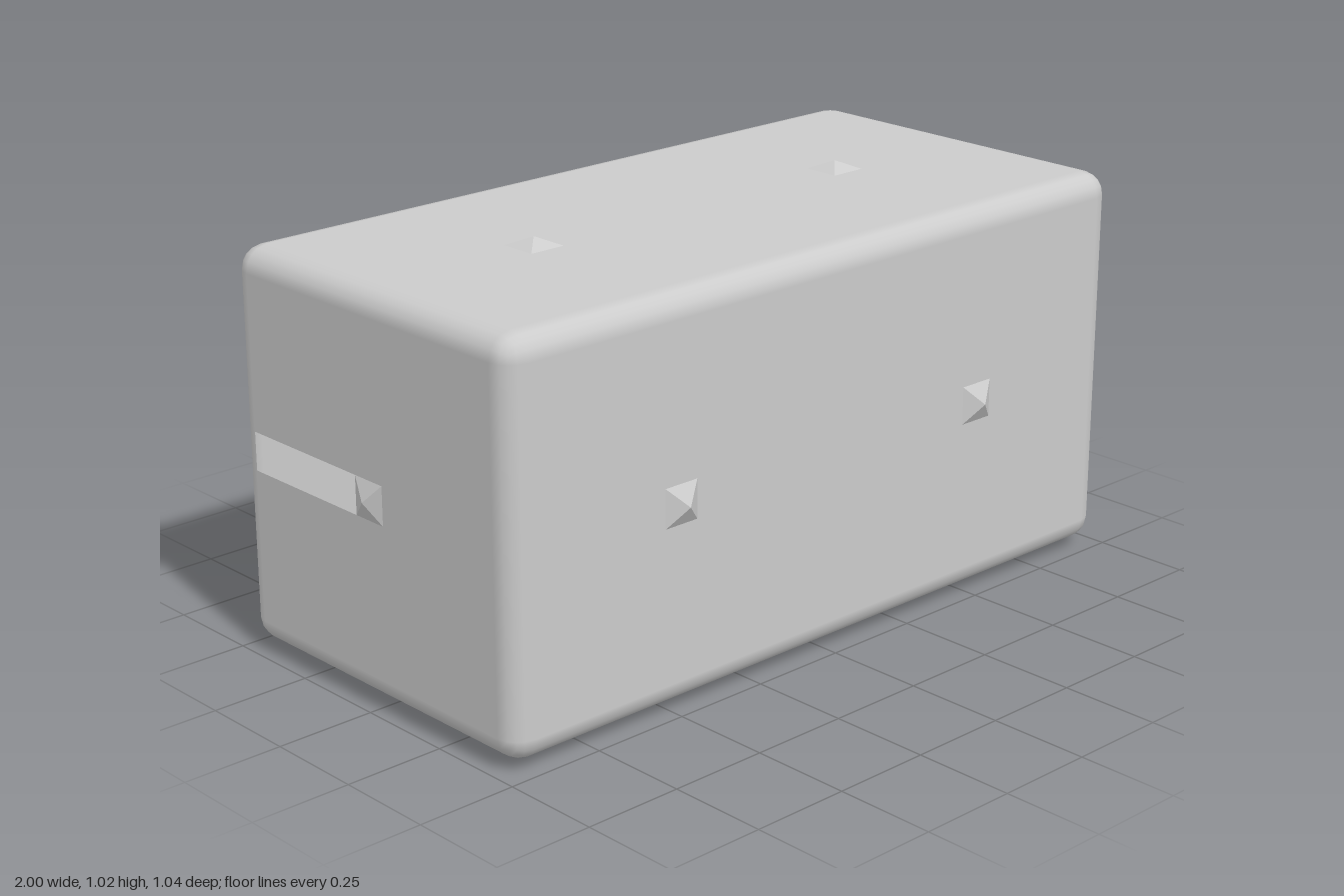
import * as THREE from 'three';
import { RoundedBoxGeometry } from 'three/addons/geometries/RoundedBoxGeometry.js';

const HX = 0.98, HY = 0.489, HZ = 0.489; // half sizes of the body
const R = 0.06;                          // edge rounding
const STUD = 0.048;                      // half width of a stud
const MID = 0.511;                       // height of the body centre

// Rounded box with the flat panel of its -x end left out
function shellGeometry() {
  const box = new RoundedBoxGeometry(2 * HX, 2 * HY, 2 * HZ, 2, R);
  const source = box.index ? box.toNonIndexed() : box;
  const p = source.attributes.position, n = source.attributes.normal;
  const positions = [], normals = [];
  for (let i = 0; i < p.count; i += 3) {
    if ([0, 1, 2].every((k) => p.getX(i + k) < -HX + 1e-4)) continue;
    for (let k = i; k < i + 3; k++) {
      positions.push(p.getX(k), p.getY(k), p.getZ(k));
      normals.push(n.getX(k), n.getY(k), n.getZ(k));
    }
  }
  const geometry = new THREE.BufferGeometry();
  geometry.setAttribute('position', new THREE.Float32BufferAttribute(positions, 3));
  geometry.setAttribute('normal', new THREE.Float32BufferAttribute(normals, 3));
  return geometry;
}

// Flat end panel with a slot running from the stud to its -z edge
function slottedPanelGeometry() {
  const a = HZ - R, b = HY - R, s = STUD;
  const outline = [[-a, -b], [a, -b], [a, b], [-a, b], [-a, s], [-s, s], [-s, -s], [-a, -s]];
  const shape = new THREE.Shape(outline.map(([z, y]) => new THREE.Vector2(z, y)));
  return new THREE.ShapeGeometry(shape).rotateY(-Math.PI / 2).translate(-HX, 0, 0);
}

export function createModel() {
  const model = new THREE.Group();
  const smooth = new THREE.MeshStandardMaterial({ color: 0xcccccc, side: THREE.DoubleSide });
  const faceted = new THREE.MeshStandardMaterial({
    color: 0xcccccc, flatShading: true, side: THREE.DoubleSide,
  });

  const add = (name, geometry, material) => {
    const mesh = new THREE.Mesh(geometry, material);
    mesh.name = name;
    mesh.position.y = MID;
    model.add(mesh);
    return mesh;
  };

  add('body', shellGeometry(), smooth);
  add('slottedEndPanel', slottedPanelGeometry(), smooth);

  // Four-sided pyramid studs, pointing outward along a face normal
  const up = new THREE.Vector3(0, 1, 0);
  const addStud = (name, base, normal, height) => {
    const geometry = new THREE.ConeGeometry(STUD * Math.SQRT2, height, 4, 1, true);
    geometry.rotateY(Math.PI / 4).translate(0, height / 2, 0);
    const stud = add(name, geometry, faceted);
    stud.quaternion.setFromUnitVectors(up, normal);
    stud.position.add(base);
  };

  for (const side of [-1, 1]) {
    addStud('endStud', new THREE.Vector3(side * HX, 0, 0), new THREE.Vector3(side, 0, 0), 0.02);
    for (const x of [-0.49, 0.49]) {
      addStud(side > 0 ? 'topStud' : 'bottomStud',
        new THREE.Vector3(x, side * HY, 0), new THREE.Vector3(0, side, 0), 0.022);
      addStud(side > 0 ? 'frontStud' : 'backStud',
        new THREE.Vector3(x, 0, side * HZ), new THREE.Vector3(0, 0, side), 0.03);
    }
  }
  return model;
}
